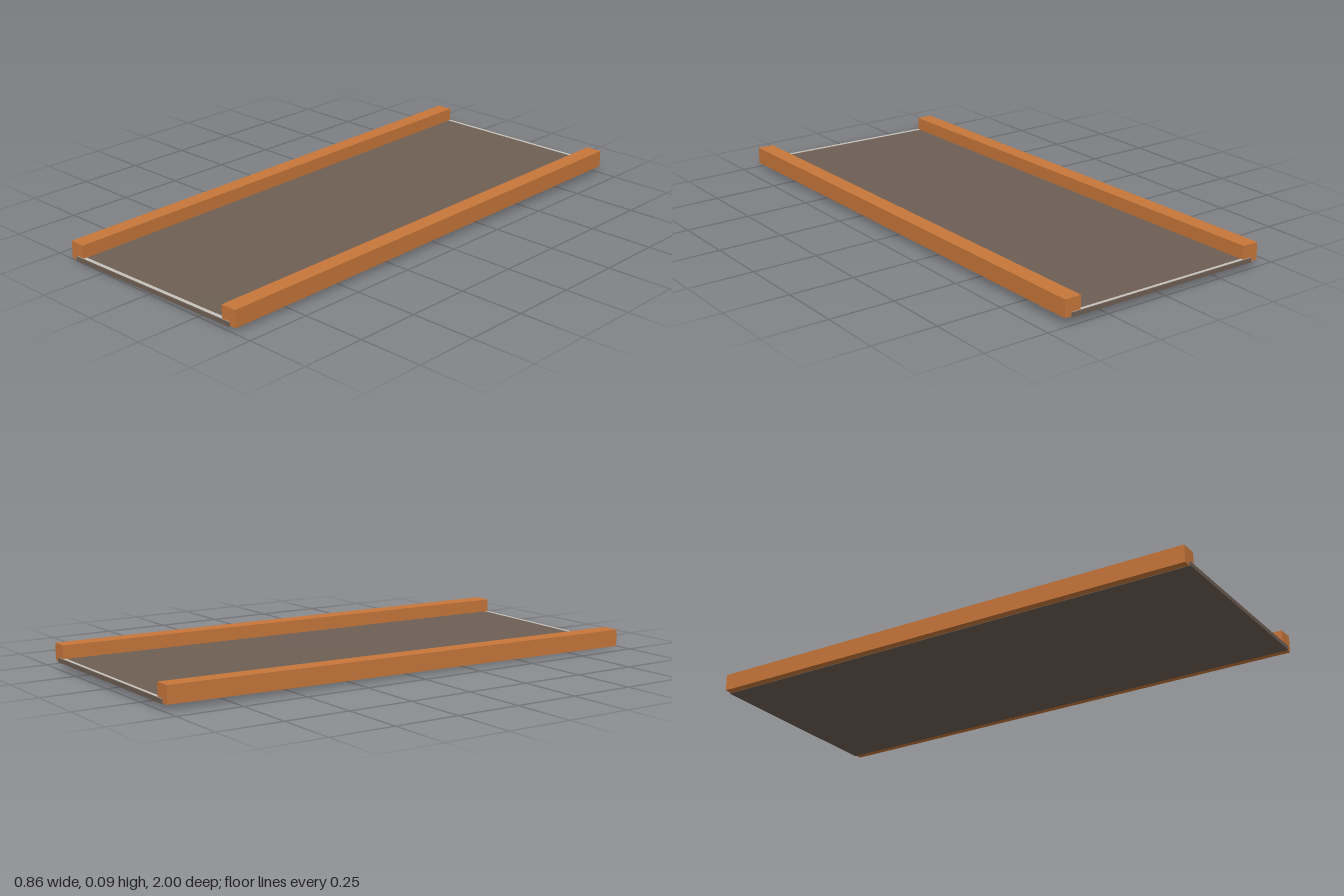
import * as THREE from 'three';

// Gently twisted ground surface on which every part rests
function floorAt(x, z) {
  const u = THREE.MathUtils.clamp((x + 0.43) / 0.86, 0, 1);
  const v = (1 - z) / 2; // 0 at the front, 1 at the back
  const front = THREE.MathUtils.lerp(0, 0.016, u);
  const back = THREE.MathUtils.lerp(0.023, 0.028, u);
  return THREE.MathUtils.lerp(front, back, v);
}

// Box between given bounds, lifted vertex by vertex to follow the floor
function beam(name, material, [x0, x1], [y0, y1], [z0, z1]) {
  const geometry = new THREE.BoxGeometry(x1 - x0, y1 - y0, z1 - z0, 4, 1, 8);
  geometry.translate((x0 + x1) / 2, (y0 + y1) / 2, (z0 + z1) / 2);
  const p = geometry.attributes.position;
  for (let i = 0; i < p.count; i++) {
    p.setY(i, p.getY(i) + floorAt(p.getX(i), p.getZ(i)));
  }
  geometry.computeVertexNormals();
  const mesh = new THREE.Mesh(geometry, material);
  mesh.name = name;
  return mesh;
}

export function createModel() {
  const wood = new THREE.MeshStandardMaterial({ name: 'orange wood', color: 0xc8773a });
  const road = new THREE.MeshStandardMaterial({ name: 'brown grey deck', color: 0x6e5f54 });
  const trim = new THREE.MeshStandardMaterial({ name: 'pale trim', color: 0xc6c3bc });

  const model = new THREE.Group();
  model.name = 'bridgeDeck';

  // Flat deck reaching under both side rails
  model.add(beam('deck', road, [-0.4, 0.4], [0, 0.016], [-1, 1]));

  // Square side rails
  model.add(beam('rightRail', wood, [-0.43, -0.365], [0.002, 0.067], [-0.995, 0.995]));
  model.add(beam('leftRail', wood, [0.363, 0.428], [0.002, 0.067], [-0.995, 0.995]));

  // Thin pale strips along the deck ends
  model.add(beam('frontTrim', trim, [-0.4, 0.4], [0.015, 0.017], [0.982, 0.996]));
  model.add(beam('backTrim', trim, [-0.4, 0.4], [0.015, 0.017], [-0.996, -0.984]));

  return model;
}
